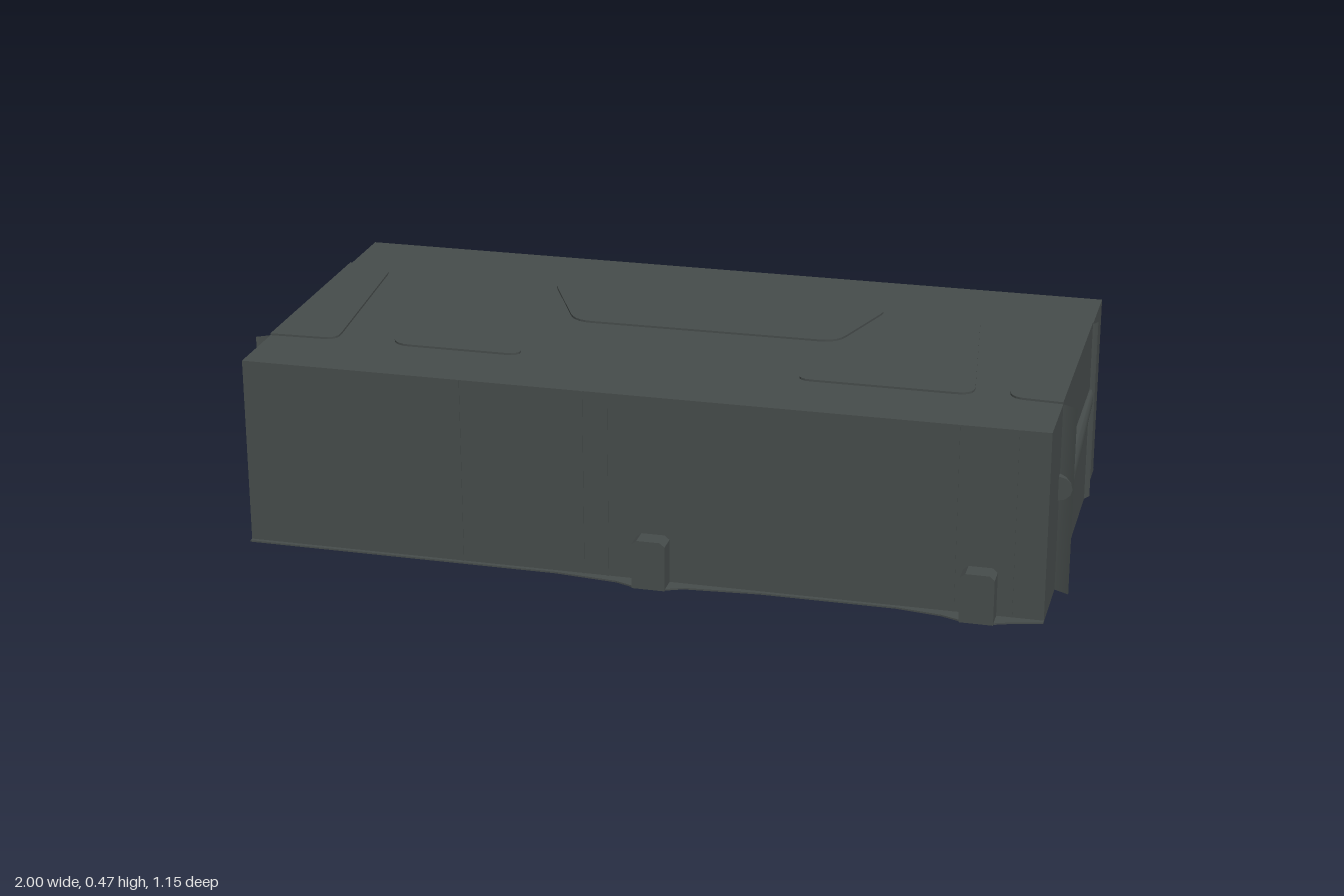
import * as THREE from 'three';

const X0 = -0.97, X1 = 0.965, Z0 = -0.41, Z1 = 0.53, TOP = 0.466;

// Plan polygon ([x, z] corners) with rounded corners
function roundedShape(pts, r) {
  const s = new THREE.Shape();
  const v = pts.map(([x, z]) => new THREE.Vector2(x, z));
  v.forEach((p, i) => {
    const a = v[(i + v.length - 1) % v.length], b = v[(i + 1) % v.length];
    const from = p.clone().add(a.clone().sub(p).setLength(r));
    const to = p.clone().add(b.clone().sub(p).setLength(r));
    if (i === 0) s.moveTo(from.x, from.y); else s.lineTo(from.x, from.y);
    s.quadraticCurveTo(p.x, p.y, to.x, to.y);
  });
  s.closePath();
  return s;
}

// Horizontal plate from a plan shape, its upper face at y
function plate(shape, y, thick) {
  const g = new THREE.ExtrudeGeometry(shape, { depth: thick, bevelEnabled: false, curveSegments: 5 });
  return g.rotateX(Math.PI / 2).translate(0, y, 0);
}

// Vertical sheet standing along a plan path
function sheet(pts, y0, y1) {
  const pos = [], idx = [];
  pts.forEach((p, i) => {
    pos.push(p.x, y0, p.y, p.x, y1, p.y);
    if (i) { const a = 2 * i - 2; idx.push(a, a + 1, a + 2, a + 1, a + 3, a + 2); }
  });
  const g = new THREE.BufferGeometry();
  g.setAttribute('position', new THREE.Float32BufferAttribute(pos, 3));
  g.setIndex(idx);
  g.computeVertexNormals();
  return g;
}

export function createModel() {
  const model = new THREE.Group();
  model.name = 'sheetMetalCase';
  const metal = new THREE.MeshStandardMaterial({ color: 0x464c4b, side: THREE.DoubleSide });
  metal.name = 'darkGreyMetal';
  const add = (name, geo) => {
    const m = new THREE.Mesh(geo, metal);
    m.name = name;
    model.add(m);
    return m;
  };
  const box = (name, x0, x1, y0, y1, z0, z1) => add(name, new THREE.BoxGeometry(x1 - x0, y1 - y0, z1 - z0)
    .translate((x0 + x1) / 2, (y0 + y1) / 2, (z0 + z1) / 2));

  // Outer walls and top
  const t = 0.005;
  box('frontWall', X0, X1, 0, TOP, Z1 - t, Z1);
  box('backWall', X0, X1, 0, TOP, Z0, Z0 + t);
  box('leftWall', X1 - t, X1, 0, TOP, Z0, Z1);
  box('rightWall', X0, X0 + t, 0, TOP, Z0, Z1);
  box('topPanel', X0, X1, TOP - t, TOP, Z0, Z1);

  // Pockets that run from the floor up to a slightly raised lid
  const pockets = [
    [[-0.74, -0.2], [-0.55, -0.2], [-0.33, 0.34], [-0.66, 0.34]],
    [[-0.41, -0.2], [0.46, -0.2], [0.38, 0.065], [-0.28, 0.07]],
    [[0.55, -0.2], [0.69, -0.2], [0.76, 0.34], [0.33, 0.34]],
  ].map(p => roundedShape(p, 0.045));
  for (const s of pockets) {
    const ring = s.getPoints(5);
    ring.push(ring[0].clone());
    add('pocketWall', sheet(ring, 0, TOP));
    add('pocketLid', plate(s, 0.471, 0.005));
  }

  // Side recesses: inner wall with flanges poking through the side, and a lid
  const recesses = [
    { side: 1, edge: X1, front: 0.84, back: 0.79 },
    { side: -1, edge: X0, front: -0.8, back: -0.85 },
  ];
  for (const { side, edge, front, back } of recesses) {
    const path = new THREE.Path();
    path.moveTo(side, 0.365);
    path.lineTo(edge, 0.345);
    path.lineTo(front + side * 0.04, 0.34);
    path.quadraticCurveTo(front, 0.34, front - 0.004, 0.3);
    path.lineTo(back + 0.004, -0.16);
    path.quadraticCurveTo(back, -0.2, back + side * 0.04, -0.205);
    path.lineTo(edge, -0.22);
    path.lineTo(side * 0.976, -0.24);
    const pts = path.getPoints(5);
    add('recessWall', sheet(pts, 0, TOP));
    const lid = new THREE.Shape(pts.slice(1, -1));
    add('recessLid', plate(lid, 0.471, 0.005));

    // Tapering rounded rail between the two flanges
    const rail = new THREE.CylinderGeometry(1, 1, 1, 12, 1).rotateX(Math.PI / 2);
    const p = rail.attributes.position;
    for (let i = 0; i < p.count; i++) {
      const k = p.getZ(i) + 0.5;
      const reach = THREE.MathUtils.lerp(0.008, 0.033, k);
      p.setXYZ(i, edge + p.getX(i) * reach, 0.265 + p.getY(i) * 0.03, THREE.MathUtils.lerp(-0.24, 0.365, k));
    }
    rail.computeVertexNormals();
    add('sideRail', rail);
  }

  // Floor with a small lip, swelling forward under the two front brackets
  const floor = new THREE.Shape([
    [X0, Z0 - 0.006], [X1, Z0 - 0.006], [X1, -0.22], [0.83, -0.205], [0.79, -0.165],
    [0.836, 0.3], [0.88, 0.34], [X1, 0.345], [X1, 0.54], [0.9, 0.555], [0.855, 0.572],
    [0.775, 0.572], [0.73, 0.555], [0.62, 0.54], [0.3, 0.54], [0.12, 0.555], [0.08, 0.572],
    [0, 0.572], [-0.045, 0.555], [-0.2, 0.54], [X0, 0.54], [X0, 0.345], [-0.84, 0.34],
    [-0.804, 0.3], [-0.846, -0.165], [-0.89, -0.205], [X0, -0.22],
  ].map(([x, z]) => new THREE.Vector2(x, z)));
  floor.holes = pockets.map(s => new THREE.Path(s.getPoints(5)));
  add('floor', plate(floor, 0.004, 0.004));

  // Front brackets with chamfered shoulders
  for (const x of [0, 0.775]) {
    const s = new THREE.Shape([[0, 0], [0.08, 0], [0.08, 0.112], [0.068, 0.122], [0.012, 0.122], [0, 0.112]]
      .map(([a, b]) => new THREE.Vector2(a + x, b)));
    const g = new THREE.ExtrudeGeometry(s, { depth: 0.05, bevelEnabled: false });
    add('frontBracket', g.translate(0, 0, Z1 - 0.003));
  }

  // Back bracket: folded hat-shaped channel
  const hat = new THREE.Shape([
    [-0.045, 0], [0.01, 0], [0.01, 0.114], [0.067, 0.114], [0.067, 0], [0.112, 0],
    [0.112, 0.008], [0.075, 0.008], [0.075, 0.116], [0.069, 0.122], [0.008, 0.122],
    [0.002, 0.116], [0.002, 0.008], [-0.045, 0.008],
  ].map(([a, b]) => new THREE.Vector2(a, b)));
  add('backBracket', new THREE.ExtrudeGeometry(hat, { depth: 0.168, bevelEnabled: false }).translate(0, 0, -0.577));

  // Faint vertical seams on the front
  for (const x of [-0.43, -0.13, -0.07, 0.755, 0.89]) box('frontSeam', x - 0.002, x + 0.002, 0, TOP, Z1, Z1 + 0.002);

  return model;
}
